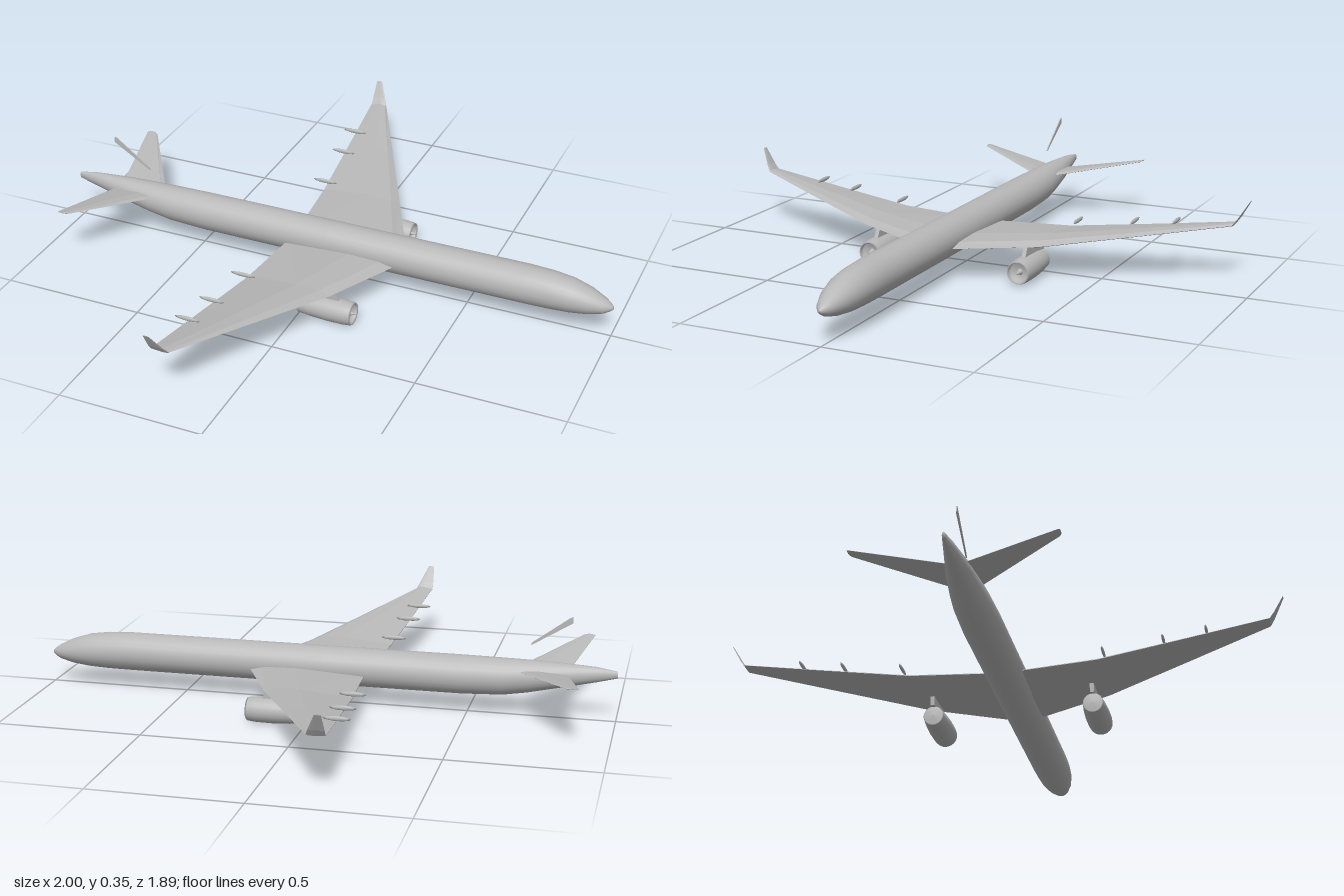
import * as THREE from 'three';

// Skin a list of equal-length point rings, close both ends, and turn the faces outward.
function loft(rings, smooth) {
  const n = rings[0].length;
  const pos = rings.flat(2);
  const index = [];
  for (let i = 0; i < rings.length - 1; i++) {
    for (let j = 0; j < n; j++) {
      const a = i * n + j, b = i * n + (j + 1) % n;
      index.push(a, b, a + n, b, b + n, a + n);
    }
  }
  const last = (rings.length - 1) * n;
  for (let j = 1; j < n - 1; j++) {
    index.push(0, j + 1, j, last, last + j, last + j + 1);
  }
  // A negative volume means the faces point inward
  const p = (k) => new THREE.Vector3().fromArray(pos, index[k] * 3);
  let volume = 0;
  for (let k = 0; k < index.length; k += 3) volume += p(k).dot(p(k + 1).cross(p(k + 2)));
  if (volume < 0) index.reverse();
  let geo = new THREE.BufferGeometry();
  geo.setAttribute('position', new THREE.Float32BufferAttribute(pos, 3));
  geo.setIndex(index);
  if (!smooth) geo = geo.toNonIndexed();
  geo.computeVertexNormals();
  return geo;
}

// Wing section at z: front x, rear x, lower y, upper y
function airfoil([z, front, rear, low, high], side) {
  const x = (t) => THREE.MathUtils.lerp(front, rear, t);
  const y = (t) => THREE.MathUtils.lerp(low, high, t);
  return [
    [0, 0.35], [0.12, 0.85], [0.4, 1], [1, 0.4], [1, 0.3], [0.4, 0], [0.1, 0.08],
  ].map(([u, v]) => [x(u), y(v), z * side]);
}

export function createModel() {
  const model = new THREE.Group();
  const grey = new THREE.MeshStandardMaterial({ color: 0xb8b8b8 });
  grey.name = 'light grey';
  const sheet = new THREE.MeshStandardMaterial({ color: 0xb8b8b8, side: THREE.DoubleSide });
  sheet.name = 'light grey sheet';

  const add = (name, geo, material = grey, parent = model) => {
    const mesh = new THREE.Mesh(geo, material);
    mesh.name = name;
    parent.add(mesh);
    return mesh;
  };

  // Fuselage: x, lower y, upper y, half width
  const stations = [
    [-1, 0.155, 0.179, 0.005], [-0.93, 0.137, 0.19, 0.018], [-0.8, 0.108, 0.196, 0.042],
    [-0.7, 0.086, 0.198, 0.054], [-0.62, 0.073, 0.199, 0.061], [-0.48, 0.067, 0.2, 0.066],
    [0, 0.066, 0.2, 0.067], [0.7, 0.066, 0.2, 0.067], [0.79, 0.067, 0.196, 0.065],
    [0.86, 0.07, 0.186, 0.06], [0.92, 0.077, 0.167, 0.048], [0.97, 0.089, 0.142, 0.029],
    [0.99, 0.1, 0.128, 0.015], [1, 0.108, 0.119, 0.005],
  ];
  add('fuselage', loft(stations.map(([x, low, high, w]) =>
    Array.from({ length: 24 }, (_, i) => {
      const a = i / 24 * Math.PI * 2;
      return [x, (low + high) / 2 + Math.sin(a) * (high - low) / 2, Math.cos(a) * w];
    })), true));

  for (const side of [1, -1]) {
    const name = side > 0 ? 'left' : 'right';
    const surface = (part, sections) =>
      add(name + part, loft(sections.map((s) => airfoil(s, side)), false));

    // Main wing, upturned tip and tailplane
    surface('Wing', [
      [0.03, 0.265, -0.148, 0.108, 0.132],
      [0.32, 0.127, -0.17, 0.114, 0.143],
      [0.6, -0.012, -0.194, 0.151, 0.17],
      [0.895, -0.157, -0.219, 0.191, 0.201],
    ]);
    surface('Winglet', [
      [0.895, -0.157, -0.219, 0.191, 0.201],
      [0.91, -0.167, -0.219, 0.213, 0.219],
      [0.943, -0.195, -0.216, 0.272, 0.275],
    ]);
    surface('Tailplane', [
      [0.02, -0.66, -0.835, 0.158, 0.17],
      [0.32, -0.856, -0.898, 0.206, 0.212],
      [0.326, -0.868, -0.896, 0.208, 0.212],
    ]);

    // Flap track fairings
    for (const [z, rear, front, y] of [
      [0.343, -0.222, -0.13, 0.146], [0.545, -0.235, -0.145, 0.165], [0.688, -0.248, -0.158, 0.178],
    ]) {
      const pod = new THREE.SphereGeometry(1, 8, 6);
      pod.scale((front - rear) / 2, 0.008, 0.005);
      pod.translate((front + rear) / 2, y, z * side);
      add(name + 'FlapFairing', pod);
    }

    // Engine: hollow intake lip, body and rear cone, turned to lie along x
    const engine = new THREE.Group();
    engine.name = name + 'Engine';
    engine.position.set(0, 0.047, 0.278 * side);
    model.add(engine);
    const profile = [
      [0.001, 0], [0.032, 0.002], [0.035, 0.004], [0.04, 0.05], [0.043, 0.11],
      [0.0425, 0.165], [0.04, 0.192], [0.037, 0.198], [0.034, 0.192], [0.033, 0.175], [0.001, 0.175],
    ].map(([r, x]) => new THREE.Vector2(r, x));
    add('nacelle', new THREE.LatheGeometry(profile, 24), sheet, engine).rotation.z = -Math.PI / 2;
    const spinner = add('spinner', new THREE.ConeGeometry(0.011, 0.032, 14), grey, engine);
    spinner.rotation.z = -Math.PI / 2;
    spinner.position.x = 0.19;

    // Pylon joining engine and wing
    const pylon = new THREE.Shape([
      [-0.015, 0.112], [-0.012, 0.08], [0.15, 0.08], [0.13, 0.122], [0.02, 0.124],
    ].map(([x, y]) => new THREE.Vector2(x, y)));
    const pylonGeo = new THREE.ExtrudeGeometry(pylon, { depth: 0.014, bevelEnabled: false });
    pylonGeo.translate(0, 0, 0.278 * side - 0.007);
    add(name + 'Pylon', pylonGeo);
  }

  // Separate thin leading edge strip of the tail fin
  const strip = new THREE.Shape([
    [-0.845, 0.356], [-0.836, 0.352], [-0.712, 0.26], [-0.708, 0.25], [-0.846, 0.335],
  ].map(([x, y]) => new THREE.Vector2(x, y)));
  const stripGeo = new THREE.ExtrudeGeometry(strip, { depth: 0.004, bevelEnabled: false });
  stripGeo.translate(0, 0, -0.002);
  add('finLeadingEdge', stripGeo);

  return model;
}
